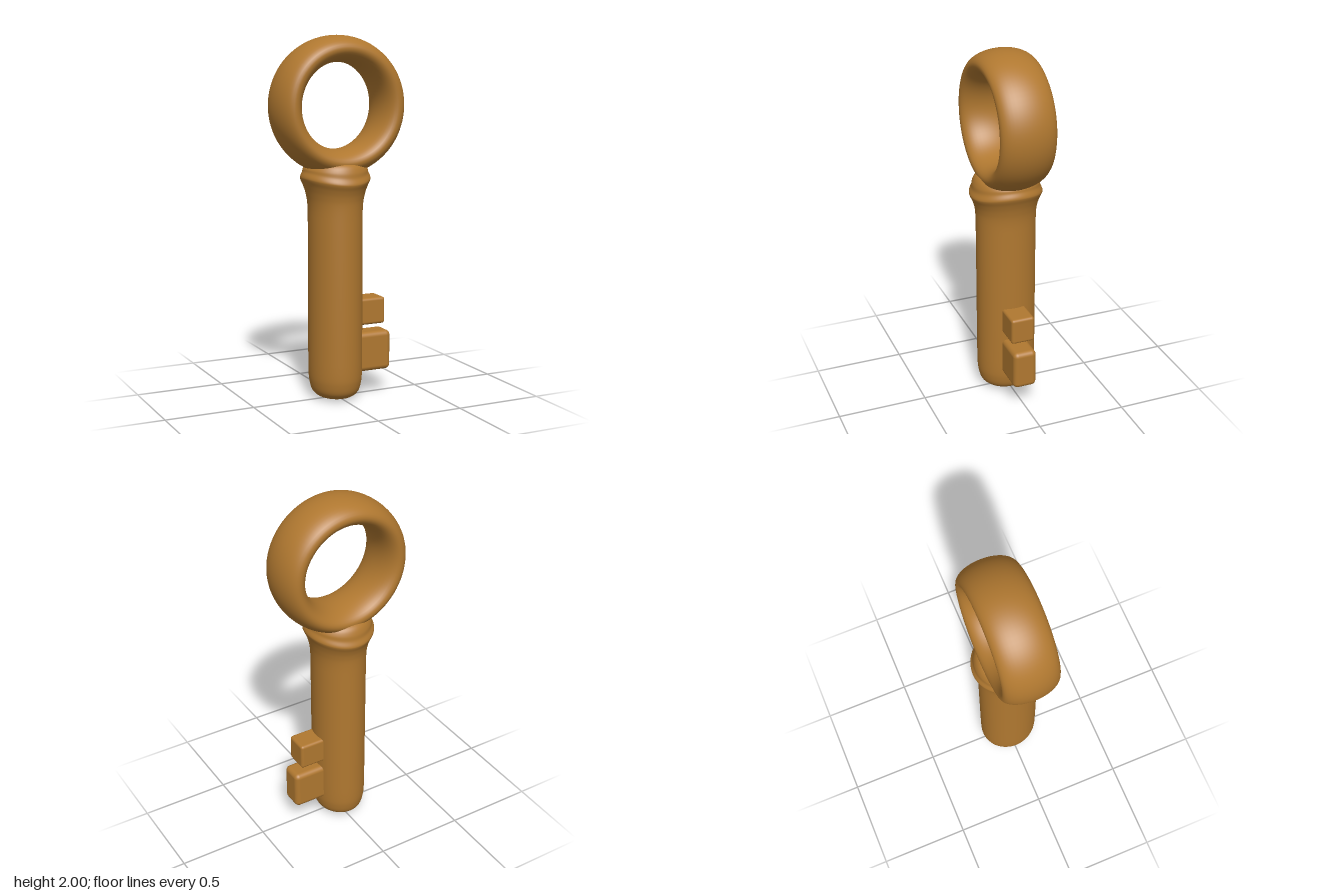
import * as THREE from 'three';
import { mergeVertices } from 'three/addons/utils/BufferGeometryUtils.js';
import { RoundedBoxGeometry } from 'three/addons/geometries/RoundedBoxGeometry.js';

const brass = new THREE.MeshStandardMaterial({ color: 0xb07830 });

function addPart(group, name, geometry, x, y, z) {
  const mesh = new THREE.Mesh(geometry, brass);
  mesh.name = name;
  mesh.position.set(x, y, z);
  group.add(mesh);
  return mesh;
}

// Shaft and collar: one smooth lathe, flattened in x, its collar rising towards the sides
function shaftGeometry() {
  const outline = [
    [0.03, 0], [0.08, 0.005], [0.118, 0.018], [0.146, 0.045], [0.16, 0.09], [0.166, 0.15],
    [0.167, 0.3], [0.167, 0.6], [0.167, 0.9], [0.168, 1.07], [0.174, 1.13], [0.186, 1.17],
    [0.199, 1.198], [0.2, 1.213], [0.189, 1.24], [0.184, 1.27], [0.17, 1.3],
    [0.145, 1.318], [0.09, 1.328], [0, 1.33],
  ].map(([r, y]) => new THREE.Vector2(r, y));
  const curve = new THREE.SplineCurve(outline).getPoints(90);
  curve.forEach((p) => { p.x = Math.max(p.x, 0); });
  // Small recess in the tip
  const profile = [new THREE.Vector2(0, 0.02), new THREE.Vector2(0.028, 0.02), ...curve];
  let geometry = new THREE.LatheGeometry(profile, 64);
  geometry.deleteAttribute('uv');
  geometry.deleteAttribute('normal');
  geometry = mergeVertices(geometry, 1e-5);

  const pos = geometry.attributes.position;
  for (let i = 0; i < pos.count; i++) {
    const x = pos.getX(i), y = pos.getY(i), z = pos.getZ(i);
    const side = (x * x) / (x * x + z * z + 1e-9);
    const collar = THREE.MathUtils.smoothstep(y, 1.05, 1.22);
    const top = 1 - THREE.MathUtils.smoothstep(y, 1.22, 1.32);
    pos.setX(i, x * THREE.MathUtils.lerp(0.875, 0.95, collar));
    pos.setY(i, y + 0.03 * side * collar * top);
  }
  geometry.computeVertexNormals();
  return geometry;
}

export function createModel() {
  const key = new THREE.Group();
  key.name = 'key';

  // Bow: a ring stretched in depth
  const ring = addPart(key, 'bowRing', new THREE.TorusGeometry(0.306, 0.072, 40, 80), 0, 1.622, 0);
  ring.scale.z = 0.154 / 0.072;

  addPart(key, 'shaftAndCollar', shaftGeometry(), -0.009, 0, 0);

  // Teeth: [name, outer x, bottom, top, corner radius]
  const teeth = [
    ['upperTooth', 0.267, 0.405, 0.555, 0.016],
    ['lowerTooth', 0.306, 0.137, 0.36, 0.028],
  ];
  const inner = 0.06;
  for (const [name, outer, bottom, top, radius] of teeth) {
    const box = new RoundedBoxGeometry(outer - inner, top - bottom, 0.134, 4, radius);
    addPart(key, name, box, (outer + inner) / 2, (top + bottom) / 2, 0.005);
  }
  return key;
}
